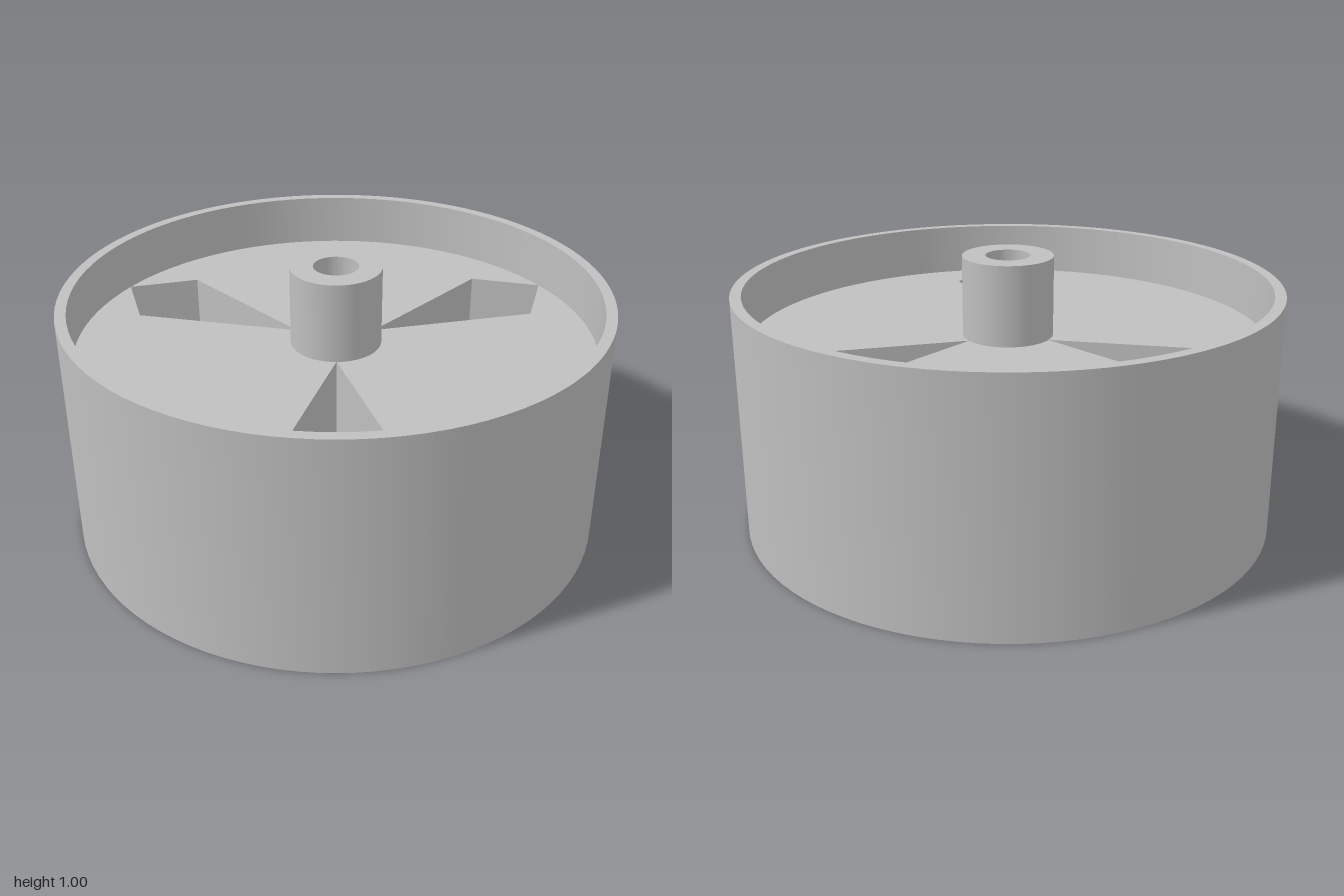
import * as THREE from 'three';
import { toCreasedNormals } from 'three/addons/utils/BufferGeometryUtils.js';

const SEGMENTS = 96;

// Hollow cylinder with sharp rims, from a closed rectangular profile
function ring(inner, outer, bottom, top) {
  const profile = [
    [inner, bottom], [outer, bottom], [outer, top], [inner, top], [inner, bottom],
  ].map(([r, y]) => new THREE.Vector2(r, y));
  return toCreasedNormals(new THREE.LatheGeometry(profile, SEGMENTS), Math.PI / 6);
}

// Web disc with a hub opening and three kite-shaped windows
function webGeometry(bottom, top) {
  const disc = new THREE.Shape().absarc(0, 0, 0.975, 0, Math.PI * 2, false);
  disc.holes.push(new THREE.Path().absarc(0, 0, 0.12, 0, Math.PI * 2, true));
  const kite = [[0, 0.167], [-0.19, 0.765], [0, 0.96], [0.19, 0.765]];
  for (let i = 0; i < 3; i++) {
    const corners = kite.map(([x, y]) =>
      new THREE.Vector2(x, y).rotateAround(new THREE.Vector2(), (i * Math.PI * 2) / 3));
    disc.holes.push(new THREE.Path(corners));
  }
  const geometry = new THREE.ExtrudeGeometry(disc, {
    depth: top - bottom, bevelEnabled: false, curveSegments: 48,
  });
  // Lay the disc flat, extruding downward from its top face
  return geometry.rotateX(Math.PI / 2).translate(0, top, 0);
}

export function createModel() {
  const model = new THREE.Group();
  model.name = 'wheel';

  const grey = new THREE.MeshStandardMaterial({ color: 0xbfbfbf });
  grey.name = 'light grey';

  const add = (name, geometry) => {
    const mesh = new THREE.Mesh(geometry, grey);
    mesh.name = name;
    model.add(mesh);
  };

  add('rim', ring(0.96, 1, 0, 0.9));
  add('web', webGeometry(0.2, 0.7));
  add('hub', ring(0.083, 0.168, 0.19, 1));

  return model;
}
